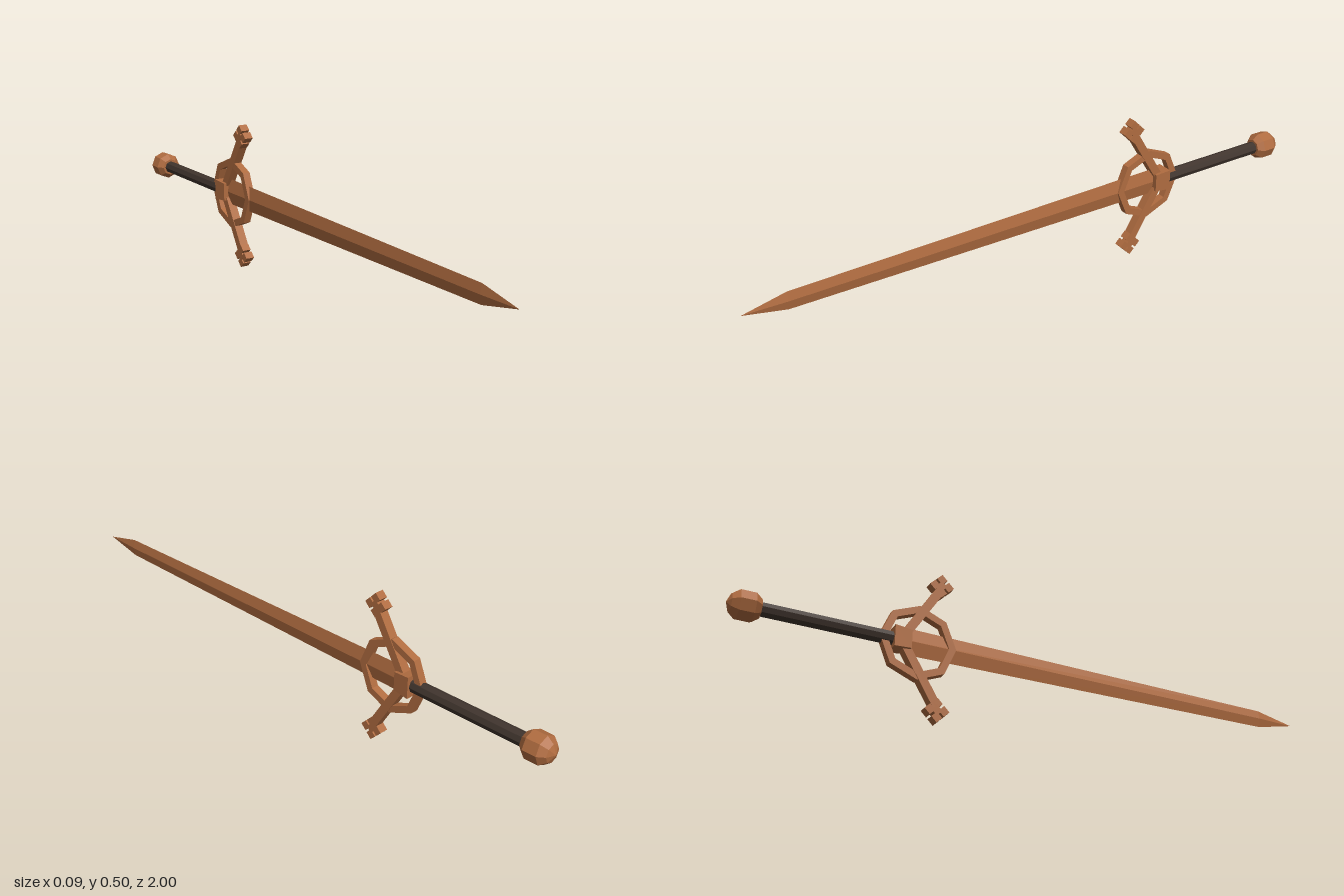
import * as THREE from 'three';

const AXIS_Y = 0.25; // height of the sword's long axis

export function createModel() {
  const sword = new THREE.Group();
  sword.name = 'sword';
  const bronze = new THREE.MeshStandardMaterial({ color: 0xb06c40, flatShading: true });
  const leather = new THREE.MeshStandardMaterial({ color: 0x40342d, flatShading: true });

  const add = (name, geometry, material = bronze, parent = sword) => {
    const mesh = new THREE.Mesh(geometry, material);
    mesh.name = name;
    parent.add(mesh);
    return mesh;
  };

  // Faceted solid along z from [radius, z] pairs (z ascending), xScale flattens it
  const spindle = (profile, sides, xScale = 1) => {
    const g = new THREE.LatheGeometry(profile.map(([r, z]) => new THREE.Vector2(r, z)), sides);
    return g.rotateX(Math.PI / 2).scale(xScale, 1, 1).translate(0, AXIS_Y, 0);
  };

  // Flat plate: a shape drawn in (z, y), thickened evenly about x = 0
  const plate = (shape, thickness) =>
    new THREE.ExtrudeGeometry(shape, { depth: thickness, bevelEnabled: false })
      .translate(0, 0, -thickness / 2)
      .rotateY(-Math.PI / 2);

  const polygon = (radius, sides) => Array.from({ length: sides }, (_, i) => {
    const a = (i / sides) * Math.PI * 2;
    return new THREE.Vector2(Math.cos(a) * radius, Math.sin(a) * radius);
  });

  // Diamond-section blade with a pointed tip
  add('blade', spindle([[0, -0.46], [0.045, -0.46], [0.03, 0.86], [0, 1]], 4, 0.21));

  // Grip and pommel
  add('grip', spindle([[0, -0.92], [0.022, -0.92], [0.022, -0.49], [0, -0.49]], 8), leather);
  add('pommel', spindle([
    [0, -1], [0.029, -0.988], [0.046, -0.967], [0.046, -0.922], [0.03, -0.902], [0, -0.902],
  ], 8));

  // Tapered block between grip and blade
  const block = new THREE.CylinderGeometry(0.031, 0.036, 0.056, 4);
  block.rotateY(Math.PI / 4).scale(Math.SQRT2 * 0.8, 1, Math.SQRT2)
    .scale(0.98, 1, 0.98).rotateX(Math.PI / 2).translate(0, AXIS_Y, -0.474);
  block.scale(1, 1, 1);
  add('guardBlock', block);

  // Octagonal guard ring around the block
  const ringShape = new THREE.Shape(polygon(0.124, 8));
  ringShape.holes.push(new THREE.Path(polygon(0.1, 8).reverse()));
  add('guardRing', plate(ringShape, 0.026).translate(0, AXIS_Y, -0.421));

  // Swept arms, each ending in a cluster of diamond lobes
  for (const side of [1, -1]) {
    const arm = new THREE.Group();
    arm.name = side > 0 ? 'upperGuardArm' : 'lowerGuardArm';
    arm.position.y = AXIS_Y;
    sword.add(arm);

    const start = new THREE.Vector2(-0.475, 0);
    const end = new THREE.Vector2(-0.353, 0.2);
    const dir = end.clone().sub(start);
    const bar = new THREE.BoxGeometry(0.03, dir.length(), 0.028);
    bar.rotateX(side * Math.atan2(dir.x, dir.y));
    bar.translate(0, side * (start.y + end.y) / 2, (start.x + end.x) / 2);
    add('armBar', bar, bronze, arm);

    for (const [dz, dy] of [[0, 0], [0, 1], [0, -1], [1, 0], [-1, 0]]) {
      const lobe = plate(new THREE.Shape(polygon(0.0175, 4)), 0.03);
      lobe.translate(0, side * 0.21 + dy * 0.0225, -0.353 + dz * 0.0225);
      add('armLobe', lobe, bronze, arm);
    }
  }
  return sword;
}
